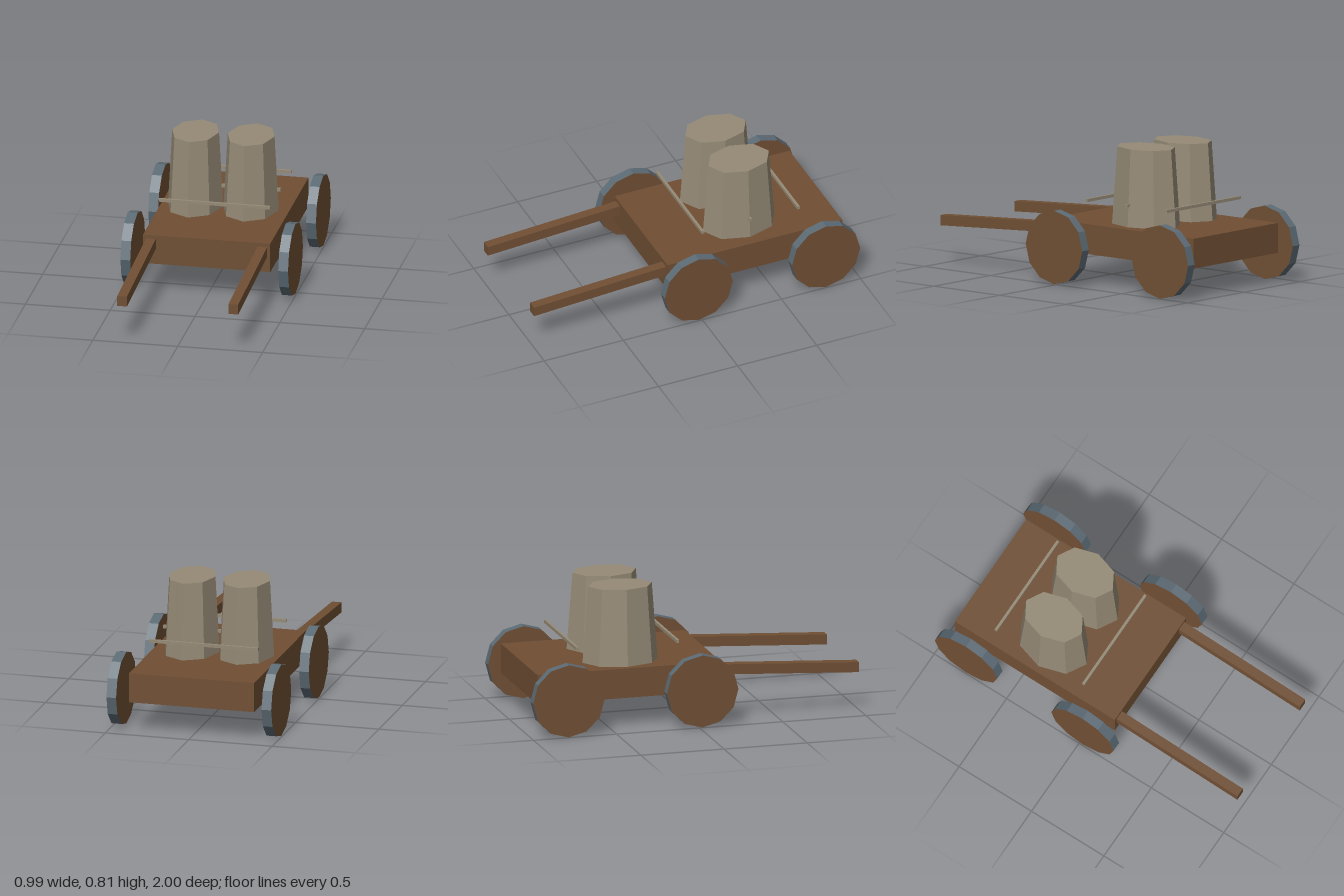
import * as THREE from 'three';

export function createModel() {
  const cart = new THREE.Group();
  cart.name = 'cart';

  const makeMaterial = (name, color, side = THREE.FrontSide) => {
    const m = new THREE.MeshStandardMaterial({ color, side, flatShading: true });
    m.name = name;
    return m;
  };
  const wood = makeMaterial('brown wood', 0x704f34, THREE.DoubleSide);
  const steel = makeMaterial('blue grey steel', 0x5c6b75);
  const tan = makeMaterial('tan', 0x958a76);

  const add = (name, geometry, material, x, y, z) => {
    const mesh = new THREE.Mesh(geometry, material);
    mesh.name = name;
    mesh.position.set(x, y, z);
    cart.add(mesh);
    return mesh;
  };

  // Bed: a thin-walled box, open underneath (the bottom face is dropped)
  const bed = new THREE.BoxGeometry(0.75, 0.175, 1.105);
  const faces = Array.from(bed.index.array);
  faces.splice(18, 6);
  bed.setIndex(faces);
  bed.clearGroups();
  add('bed', bed, wood, 0, 0.2675, -0.3875);

  // Wheels: twelve-sided discs with a steel rim
  const wheel = new THREE.CylinderGeometry(0.215, 0.215, 0.058, 12);
  wheel.rotateZ(Math.PI / 2);

  // Handle: a bar sheared so that it rises towards the bed, with upright ends
  const handle = new THREE.BoxGeometry(0.057, 0.06, 0.87);
  const points = handle.attributes.position;
  for (let i = 0; i < points.count; i++) {
    points.setY(i, points.getY(i) - points.getZ(i) * 0.057);
  }
  handle.computeVertexNormals();

  for (const [side, s] of [['left', 1], ['right', -1]]) {
    add(side + 'FrontWheel', wheel, [steel, wood, wood], s * 0.465, 0.217, 0.02);
    add(side + 'BackWheel', wheel, [steel, wood, wood], s * 0.465, 0.217, -0.785);
    add(side + 'Handle', handle, wood, s * 0.328, 0.28, 0.565);
    // Steel rail in the upper corner under the bed
    add(side + 'UnderRail', new THREE.BoxGeometry(0.02, 0.02, 1.09), steel, s * 0.363, 0.343, -0.3875);
  }

  // Barrels: tapered oval tubs with eight sides
  const barrel = new THREE.CylinderGeometry(0.138, 0.163, 0.452, 8);
  barrel.scale(1, 1, 1.385);
  add('leftBarrel', barrel, tan, 0.15, 0.581, -0.385);
  add('rightBarrel', barrel, tan, -0.177, 0.581, -0.385);

  // Thin rods across the load
  const rod = new THREE.BoxGeometry(0.655, 0.018, 0.016);
  for (const [name, z] of [['frontRod', -0.082], ['middleRod', -0.385], ['backRod', -0.686]]) {
    add(name, rod, tan, -0.003, 0.482, z);
  }

  return cart;
}
